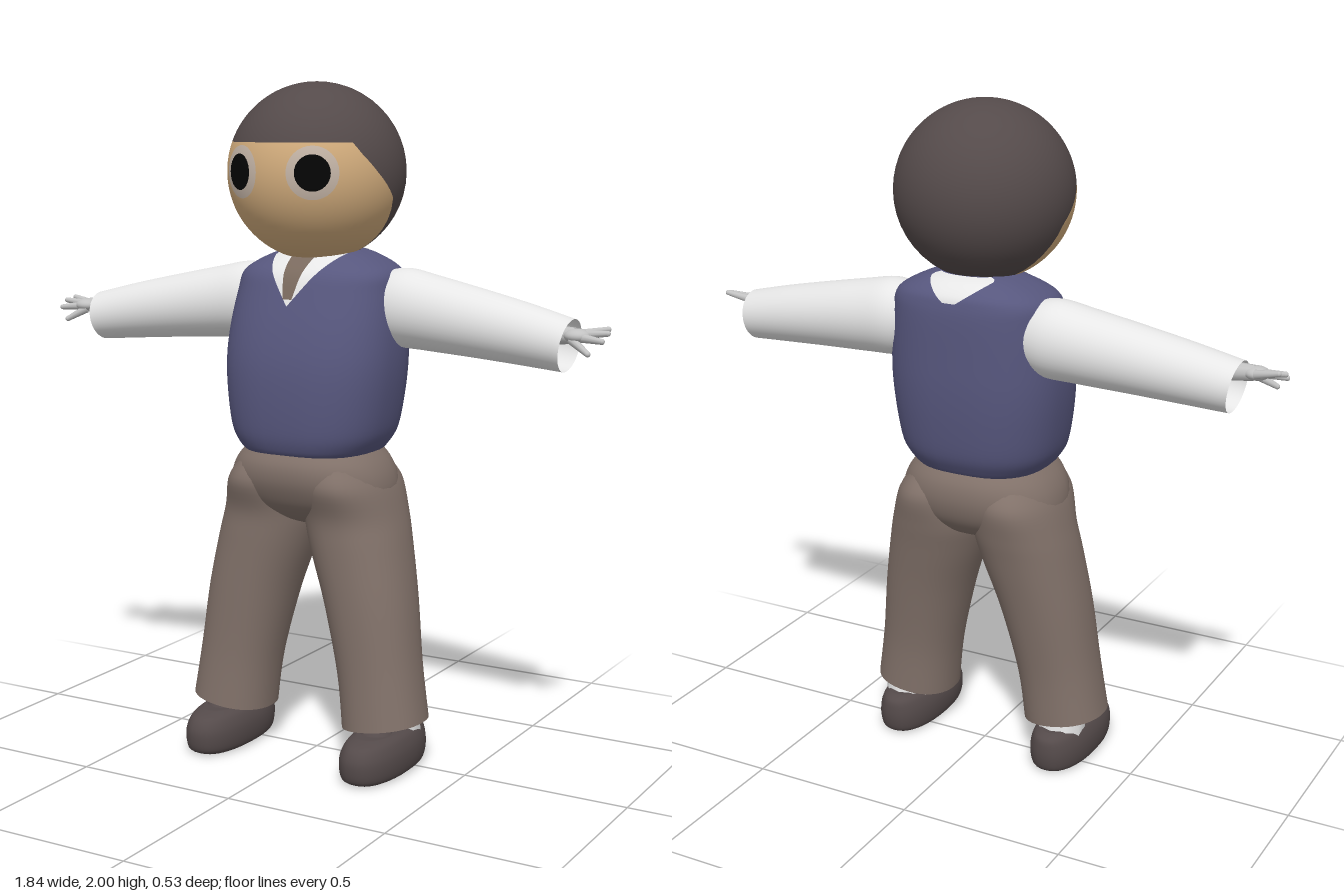
import * as THREE from 'three';

const V = (x, y, z) => new THREE.Vector3(x, y, z);
const { lerp, clamp, degToRad } = THREE.MathUtils;

const mat = (name, color, side = THREE.FrontSide) => {
  const m = new THREE.MeshStandardMaterial({ color, side });
  m.name = name;
  return m;
};

// Smooth grid surface: fn(u, v) gives a point, closed wraps around u
function grid(nu, nv, fn, closed = false) {
  const pos = [], idx = [], cols = closed ? nu : nu + 1;
  for (let j = 0; j <= nv; j++)
    for (let i = 0; i < cols; i++) pos.push(...fn(i / nu, j / nv).toArray());
  for (let j = 0; j < nv; j++)
    for (let i = 0; i < nu; i++) {
      const a = j * cols + i, b = j * cols + (i + 1) % cols;
      idx.push(a, a + cols, b, b, a + cols, b + cols);
    }
  const g = new THREE.BufferGeometry();
  g.setAttribute('position', new THREE.Float32BufferAttribute(pos, 3));
  g.setIndex(idx);
  g.computeVertexNormals();
  return g;
}

// Spline through cross-sections [t, a0, a1, b0, b1]
function smooth(sections, steps = 5) {
  const out = [], n = sections.length;
  const at = (i) => sections[clamp(i, 0, n - 1)];
  for (let i = 0; i < n - 1; i++)
    for (let k = 0; k < steps; k++) {
      const s = k / steps;
      out.push(at(i).map((p1, c) => {
        const p0 = at(i - 1)[c], p2 = at(i + 1)[c], p3 = at(i + 2)[c];
        return p1 + 0.5 * s * (p2 - p0 + s * (2 * p0 - 5 * p1 + 4 * p2 - p3 + s * (3 * (p1 - p2) + p3 - p0)));
      }));
    }
  out.push(at(n - 1));
  return out;
}

// Superelliptic loft, place(t, a, b) puts a section point in space
function loft(sections, place, power = 2, caps = true) {
  const rows = smooth(sections);
  if (caps) {
    const shut = ([t, a0, a1, b0, b1]) => [t, (a0 + a1) / 2, (a0 + a1) / 2, (b0 + b1) / 2, (b0 + b1) / 2];
    rows.unshift(shut(rows[0]));
    rows.push(shut(rows[rows.length - 1]));
  }
  const bend = (c) => Math.sign(c) * Math.abs(c) ** (2 / power);
  return grid(40, rows.length - 1, (u, v) => {
    const [t, a0, a1, b0, b1] = rows[Math.round(v * (rows.length - 1))];
    const c = bend(Math.cos(u * 2 * Math.PI)), s = bend(Math.sin(u * 2 * Math.PI));
    return place(t, (a0 + a1) / 2 + c * (a1 - a0) / 2, (b0 + b1) / 2 + s * (b1 - b0) / 2);
  }, true);
}
const upright = (t, a, b) => V(a, t, b);

// Tapered rod between two points
function rod(p, q, r0, r1) {
  const d = q.clone().sub(p);
  const g = new THREE.CylinderGeometry(r1, r0, d.length(), 10);
  g.applyQuaternion(new THREE.Quaternion().setFromUnitVectors(V(0, 1, 0), d.normalize()));
  const m = p.clone().add(q).multiplyScalar(0.5);
  return g.translate(m.x, m.y, m.z);
}

function mirrored(g) {
  const m = g.clone().scale(-1, 1, 1), ix = m.index;
  for (let i = 0; i < ix.count; i += 3) {
    const b = ix.getX(i + 1);
    ix.setX(i + 1, ix.getX(i + 2));
    ix.setX(i + 2, b);
  }
  return m;
}

export function createModel() {
  const model = new THREE.Group();
  model.name = 'figure';
  const white = mat('shirt white', 0xe6e6e6, THREE.DoubleSide);
  const glove = mat('hand grey', 0xc2c2c2);
  const navy = mat('vest blue', 0x57577e);
  const brown = mat('trouser brown', 0x82726a, THREE.DoubleSide);
  const dark = mat('hair and shoe brown', 0x544a4a);
  const skin = mat('skin', 0xd3ad7d);
  const tieBrown = mat('tie brown', 0x7a6a5e);
  const eyeRim = mat('eye rim', 0xc6b6a8);
  const black = mat('pupil black', 0x050505);

  const add = (name, g, m) => {
    const mesh = new THREE.Mesh(g, m);
    mesh.name = name;
    model.add(mesh);
  };
  const pair = (name, g, m) => {
    add('left ' + name, g, m);
    add('right ' + name, mirrored(g), m);
  };

  // Head: face below and hair above a hairline [angle from front, latitude]
  const R = 0.26, headY = 1.743;
  const line = [[0, 19.5], [54, 19.5], [60, 12], [72, 0], [90, -16], [107, -59], [115, -90], [181, -90]];
  const hairline = (deg) => {
    const k = line.findIndex((p) => p[0] > deg), [d0, l0] = line[k - 1], [d1, l1] = line[k];
    return lerp(l0, l1, (deg - d0) / (d1 - d0));
  };
  const headPart = (low, high) => {
    const g = grid(120, 24, (u, v) => {
      const phi = -2 * Math.PI * u, deg = 360 * Math.min(u, 1 - u);
      const lat = degToRad(lerp(low(deg), high(deg), v));
      return V(Math.sin(phi) * Math.cos(lat), Math.sin(lat), Math.cos(phi) * Math.cos(lat));
    }, true);
    g.setAttribute('normal', g.attributes.position.clone());
    return g.scale(R, 0.257, R).translate(0, headY, 0);
  };
  add('face', headPart(() => -90, hairline), skin);
  add('hair', headPart(hairline, () => 90), dark);

  // Eyes: thin caps lying on the head
  const eyeCap = (r, angle) => new THREE.SphereGeometry(r, 32, 6, 0, 2 * Math.PI, 0, angle)
    .rotateX(Math.PI / 2).rotateY(0.475).translate(0, headY + 0.003, 0);
  pair('eye rim', eyeCap(R + 0.002, 0.29), eyeRim);
  pair('pupil', eyeCap(R + 0.004, 0.195), black);

  // Vest
  const vest = [
    [0.93, 0.19, 0.19, -0.16], [0.95, 0.212, 0.205, -0.176], [1.0, 0.24, 0.218, -0.2],
    [1.1, 0.258, 0.222, -0.215], [1.2, 0.266, 0.215, -0.222], [1.3, 0.262, 0.192, -0.222],
    [1.4, 0.25, 0.157, -0.22], [1.45, 0.24, 0.135, -0.214], [1.48, 0.205, 0.105, -0.202],
    [1.51, 0.14, 0.055, -0.165], [1.525, 0.08, 0, -0.12],
  ].map(([y, w, front, back]) => [y, -w, w, back, front]);
  add('vest', loft(vest, upright, 2.5), navy);

  // Shirt opening and tie: thin plates following the vest surface
  const rows = smooth(vest);
  const plate = (side, y0, y1, half, lift) => grid(12, 16, (u, v) => {
    const y = lerp(y0, y1, v);
    const k = clamp(rows.findIndex((r) => r[0] >= y), 1, rows.length - 1);
    const f = (y - rows[k - 1][0]) / (rows[k][0] - rows[k - 1][0]);
    const [, , w, back, front] = rows[k].map((c, i) => lerp(rows[k - 1][i], c, f));
    const x = side * (1 - 2 * u) * Math.min(half(v), w * 0.85);
    const depth = (front - back) / 2 * (1 - (Math.abs(x) / w) ** 2.5) ** 0.4;
    return V(x, y, (front + back) / 2 + side * (depth + lift));
  });
  add('shirt front', plate(1, 1.365, 1.522, (v) => 0.122 * v, 0.005), white);
  add('shirt collar back', plate(-1, 1.46, 1.522, (v) => 0.02 + 0.09 * v, 0.005), white);
  add('tie', plate(1, 1.385, 1.522, (v) => 0.015 + 0.027 * v, 0.009), tieBrown);

  // Sleeves, open at the cuff: [x, z0, z1, y0, y1]
  const sleeve = [
    [0.17, -0.155, 0.03, 1.27, 1.46], [0.24, -0.17, 0.045, 1.243, 1.47], [0.34, -0.163, 0.05, 1.236, 1.452],
    [0.5, -0.143, 0.054, 1.227, 1.42], [0.65, -0.122, 0.057, 1.217, 1.388], [0.787, -0.1, 0.06, 1.207, 1.355],
  ];
  pair('sleeve', loft(sleeve, (t, a, b) => V(t + 0.16 * (b - 1.28), b, a), 2, false), white);

  // Hands
  pair('wrist', rod(V(0.62, 1.31, 0), V(0.82, 1.315, 0.02), 0.04, 0.022), glove);
  pair('palm', new THREE.SphereGeometry(1, 20, 14).scale(0.038, 0.02, 0.034).translate(0.825, 1.315, 0.022), glove);
  const fingers = [
    [V(0.83, 1.318, -0.002), V(0.9, 1.333, -0.016)], [V(0.84, 1.318, 0.015), V(0.91, 1.325, 0.014)],
    [V(0.84, 1.312, 0.035), V(0.905, 1.306, 0.044)], [V(0.815, 1.305, 0.038), V(0.872, 1.272, 0.062)],
  ];
  fingers.forEach(([p, q], i) => {
    pair('finger ' + (i + 1), rod(p, q, 0.013, 0.008), glove);
    pair('fingertip ' + (i + 1), new THREE.SphereGeometry(0.008, 10, 8).translate(q.x, q.y, q.z), glove);
  });

  // Trousers: hips and two open legs
  const hips = [
    [0.715, 0.06, 0.07, -0.07], [0.735, 0.13, 0.12, -0.12], [0.77, 0.215, 0.165, -0.158], [0.81, 0.252, 0.193, -0.18],
    [0.86, 0.249, 0.212, -0.19], [0.91, 0.225, 0.21, -0.182], [0.96, 0.18, 0.18, -0.15],
  ].map(([y, w, front, back]) => [y, -w, w, back, front]);
  add('hips', loft(hips, upright, 2.3), brown);
  const leg = [
    [0.138, 0.135, 0.385, -0.08, 0.172], [0.3, 0.115, 0.36, -0.088, 0.165], [0.5, 0.066, 0.334, -0.118, 0.166],
    [0.66, 0.012, 0.304, -0.15, 0.167], [0.75, -0.006, 0.281, -0.171, 0.171], [0.84, 0.01, 0.252, -0.185, 0.2],
    [0.9, 0.03, 0.215, -0.15, 0.18],
  ];
  pair('trouser leg', loft(leg, (t, a, b) => V(a, t + 0.14 * (a - 0.26) * clamp(1.5 - 2 * t, 0, 1), b), 2.2, false), brown);

  // Socks and shoes
  pair('sock', rod(V(0.268, 0.08, -0.01), V(0.265, 0.32, 0.02), 0.075, 0.07), white);
  const shoe = [
    [0.005, 0.07, 0.235, -0.1], [0.018, 0.086, 0.257, -0.118], [0.05, 0.092, 0.265, -0.126],
    [0.085, 0.089, 0.262, -0.126], [0.115, 0.076, 0.24, -0.118], [0.13, 0.058, 0.19, -0.09],
  ].map(([y, w, front, back]) => [y, 0.266 - w, 0.266 + w, back, front]);
  pair('shoe', loft(shoe, upright, 2.3), dark);
  pair('shoe tongue', new THREE.SphereGeometry(1, 20, 14).scale(0.06, 0.05, 0.06).translate(0.266, 0.1, 0.115), dark);

  // Rest exactly on the ground
  model.children.forEach((m) => m.geometry.translate(0, m.name.includes('shoe') ? -0.005 : 0, 0));
  return model;
}
